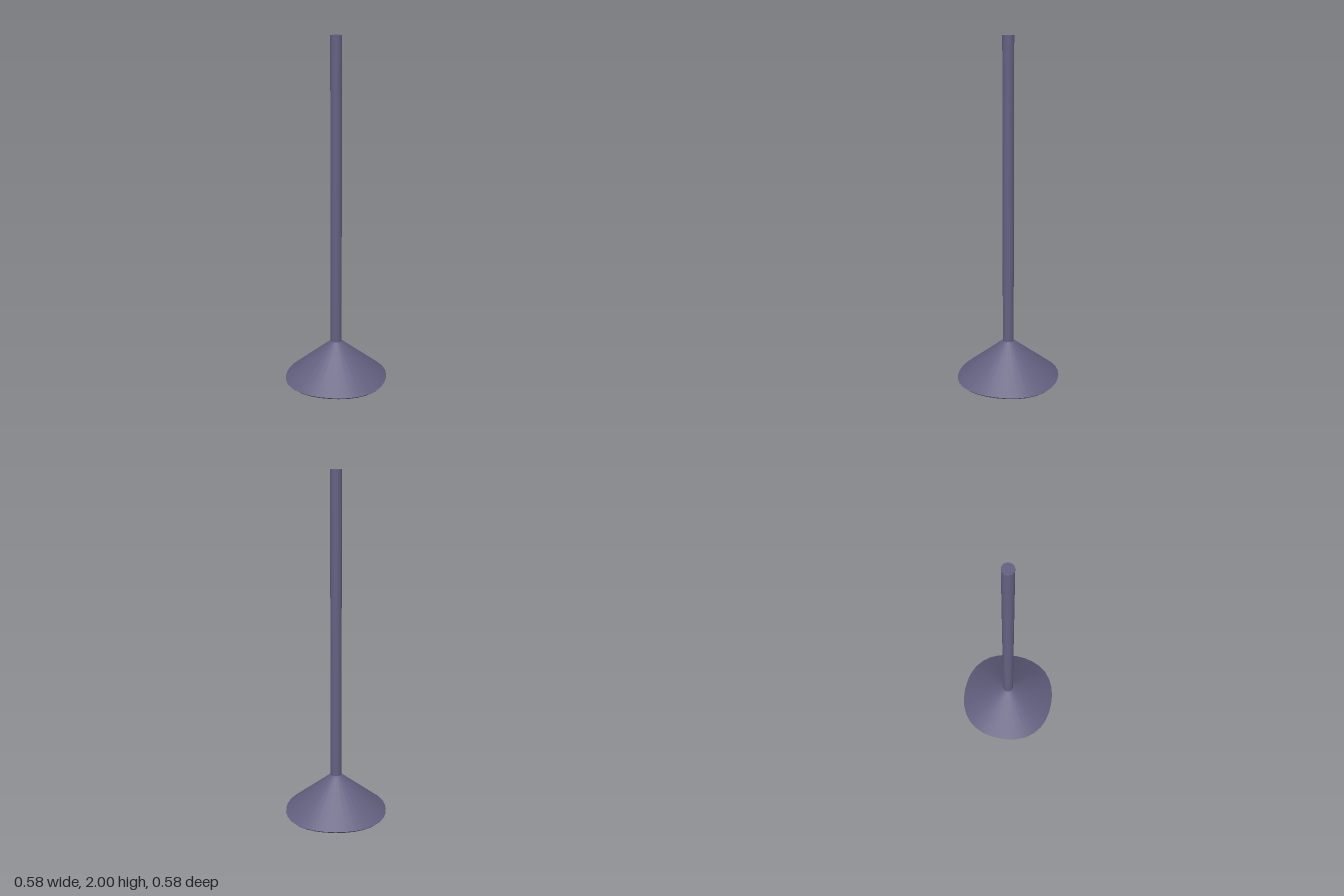
import * as THREE from 'three';

const SIDES = 32;
const RIM = 0.289;

export function createModel() {
  const model = new THREE.Group();
  const metal = new THREE.MeshStandardMaterial({ color: 0x62607f, side: THREE.DoubleSide });
  metal.name = 'slate metal';

  const add = (name, geometry) => {
    const mesh = new THREE.Mesh(geometry, metal);
    mesh.name = name;
    model.add(mesh);
    return mesh;
  };

  // Open frustum whose outline swells towards the diagonals as it widens
  const frustum = (rTop, yTop, rBottom, yBottom) => {
    const g = new THREE.CylinderGeometry(rTop, rBottom, yTop - yBottom, SIDES, 1, true);
    g.translate(0, (yTop + yBottom) / 2, 0);
    const p = g.attributes.position;
    for (let i = 0; i < p.count; i++) {
      const x = p.getX(i), z = p.getZ(i);
      const swell = 1 + 0.042 * Math.sin(2 * Math.atan2(z, x)) ** 2 * Math.hypot(x, z) / RIM;
      p.setX(i, x * swell);
      p.setZ(i, z * swell);
    }
    g.computeVertexNormals();
    // Join the smooth normals across the seam
    const n = g.attributes.normal;
    for (const row of [0, SIDES + 1]) {
      const v = new THREE.Vector3().fromBufferAttribute(n, row)
        .add(new THREE.Vector3().fromBufferAttribute(n, row + SIDES)).normalize();
      n.setXYZ(row, v.x, v.y, v.z);
      n.setXYZ(row + SIDES, v.x, v.y, v.z);
    }
    return g;
  };

  // Hollow tube with a flat ring at its top
  add('tube', new THREE.CylinderGeometry(0.031, 0.031, 1.7, SIDES, 1, true)).position.y = 1.15;
  const ring = add('tubeTopRing', new THREE.RingGeometry(0.015, 0.031, SIDES));
  ring.rotation.x = -Math.PI / 2;
  ring.position.y = 2;

  // Thin core running the full height and showing below the cone
  add('coreRod', new THREE.CylinderGeometry(0.015, 0.015, 2, SIDES)).position.y = 1;

  // Flared cone with a thin wall, open underneath
  add('coneOuter', frustum(0.031, 0.3, RIM, 0.086));
  add('coneRim', frustum(RIM, 0.086, 0.277, 0.075));
  add('coneInner', frustum(0.015, 0.285, 0.277, 0.075));

  return model;
}
